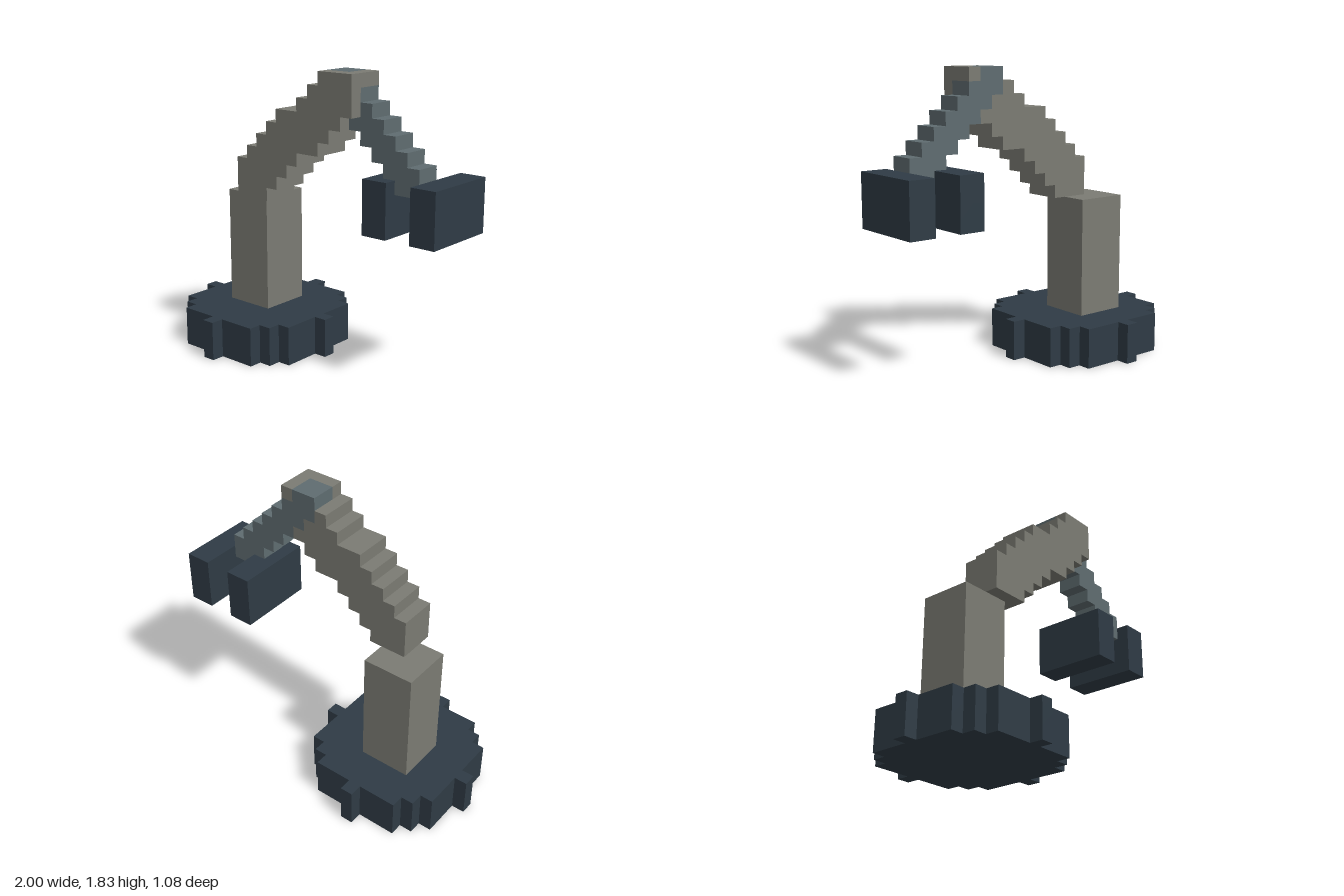
import * as THREE from 'three';

const U = 1 / 12;                    // edge of one cube
const ORIGIN = [-1, 0, -6.5 * U];    // corner of the cube grid

const COLORS = {
  base: 0x2f3b45,
  column: 0x7b7b73,
  upperArm: 0x7b7b73,
  forearm: 0x5f6c70,
  innerGripper: 0x2f3b45,
  outerGripper: 0x2f3b45,
};

// Fill a block of cubes; a later part replaces an earlier one
function fill(cells, part, [x, y, z], [w, h, d]) {
  for (let i = x; i < x + w; i++)
    for (let j = y; j < y + h; j++)
      for (let k = z; k < z + d; k++) cells.set(`${i},${j},${k}`, part);
}

// Build only the exposed cube faces of one part
function partGeometry(cells, part) {
  const positions = [], normals = [];
  for (const [key, owner] of cells) {
    if (owner !== part) continue;
    const c = key.split(',').map(Number);
    for (let axis = 0; axis < 3; axis++) {
      for (const sign of [-1, 1]) {
        const next = c.slice();
        next[axis] += sign;
        if (cells.has(next.join(','))) continue;
        const a = (axis + 1) % 3, b = (axis + 2) % 3;
        const corner = (s, t) => {
          const p = c.slice();
          if (sign > 0) p[axis] += 1;
          p[a] += s;
          p[b] += t;
          return p.map((v, n) => ORIGIN[n] + v * U);
        };
        const quad = [corner(0, 0), corner(1, 0), corner(1, 1), corner(0, 1)];
        if (sign < 0) quad.reverse();
        const normal = [0, 0, 0];
        normal[axis] = sign;
        for (const n of [0, 1, 2, 0, 2, 3]) {
          positions.push(...quad[n]);
          normals.push(...normal);
        }
      }
    }
  }
  const geometry = new THREE.BufferGeometry();
  geometry.setAttribute('position', new THREE.Float32BufferAttribute(positions, 3));
  geometry.setAttribute('normal', new THREE.Float32BufferAttribute(normals, 3));
  return geometry;
}

export function createModel() {
  const cells = new Map();

  // Round base: disc of radius 6 cubes
  for (let i = -6; i <= 6; i++)
    for (let k = -6; k <= 6; k++)
      if (i * i + k * k <= 36) fill(cells, 'base', [6 + i, 0, 6 + k], [1, 3, 1]);

  // Upright column
  fill(cells, 'column', [4, 3, 4], [4, 9, 4]);

  // Upper arm: 3-cube block stepped along a rising line
  for (let t = 0; t <= 8; t++)
    fill(cells, 'upperArm', [6 + t, Math.round(12 + t * 7 / 8), 6], [3, 3, 3]);

  // Forearm: 2-cube block stepped down from the elbow
  for (let t = 0; t <= 6; t++)
    fill(cells, 'forearm', [14 + t, 20 - t, 6], [2, 2, 2]);

  // Gripper plates either side of the wrist
  fill(cells, 'innerGripper', [18, 11, 3], [2, 4, 6]);
  fill(cells, 'outerGripper', [22, 11, 3], [2, 4, 6]);

  const model = new THREE.Group();
  model.name = 'roboticArm';
  for (const [part, color] of Object.entries(COLORS)) {
    const mesh = new THREE.Mesh(partGeometry(cells, part), new THREE.MeshStandardMaterial({ color }));
    mesh.name = part;
    model.add(mesh);
  }
  return model;
}
